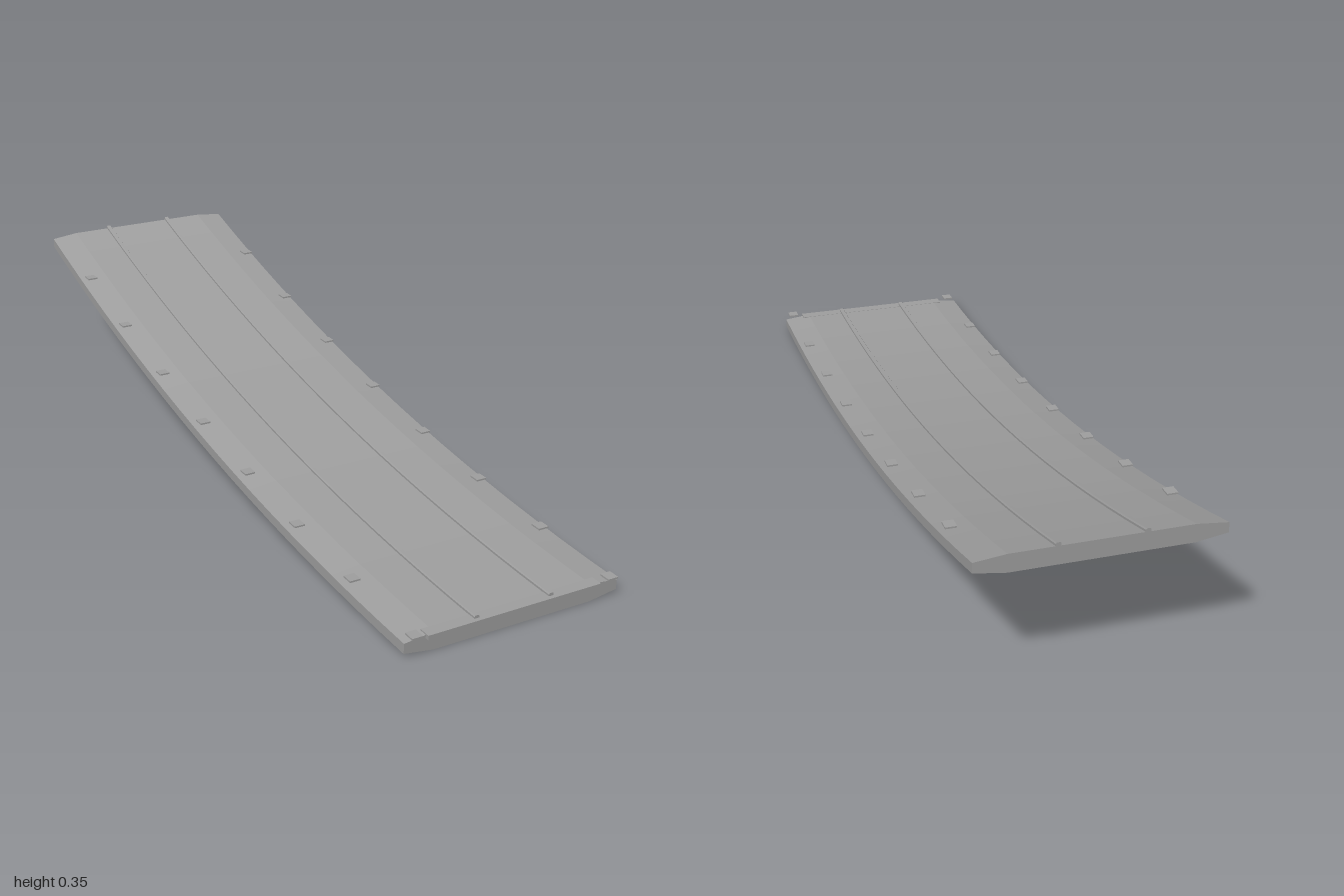
import * as THREE from 'three';

const FRONT = 0.98, BACK = -1;

// Height of the upward sweep at a given depth
const rise = (z) => 0.075 * (0.99 - z) ** 2;

// Extrude a cross-section along z, then bend it up along the sweep
function sweep(points, back, front) {
  const shape = new THREE.Shape(points.map(([x, y]) => new THREE.Vector2(x, y)));
  const geo = new THREE.ExtrudeGeometry(shape, { depth: front - back, steps: 20, bevelEnabled: false });
  geo.translate(0, 0, back);
  const p = geo.attributes.position;
  for (let i = 0; i < p.count; i++) p.setY(i, p.getY(i) + rise(p.getZ(i)));
  geo.computeVertexNormals();
  return geo;
}

export function createModel() {
  const model = new THREE.Group();
  model.name = 'curvedPanel';
  const grey = new THREE.MeshStandardMaterial({ color: 0xa0a0a0 });
  grey.name = 'panel grey';

  const add = (name, geo, x = 0, y = 0, z = 0) => {
    const mesh = new THREE.Mesh(geo, grey);
    mesh.name = name;
    mesh.position.set(x, y, z);
    model.add(mesh);
  };

  // Main slab with chamfered long edges
  add('deck', sweep([
    [-0.2, 0.001], [0.2, 0.001], [0.272, 0.012], [0.272, 0.036],
    [0.2, 0.044], [-0.2, 0.044], [-0.272, 0.036], [-0.272, 0.012],
  ], BACK, FRONT));

  // Lip along the front edge
  add('frontLip', new THREE.BoxGeometry(0.44, 0.011, 0.03), 0, 0.0395, 0.975);

  const clip = new THREE.BoxGeometry(0.026, 0.004, 0.028);
  for (const side of [1, -1]) {
    const label = side > 0 ? 'left' : 'right';

    // Raised rail running the full length
    const c = side * 0.095;
    add(label + 'Rail', sweep([
      [c - 0.006, 0.042], [c + 0.006, 0.042], [c + 0.006, 0.049],
      [c + 0.004, 0.052], [c - 0.004, 0.052], [c - 0.006, 0.049],
    ], BACK, FRONT));

    // Row of level edge clips
    for (let i = 0; i < 8; i++) {
      const z = 0.981 - i * 0.249;
      add(label + 'Clip' + (i + 1), clip, side * 0.249, 0.0505 + rise(z), z);
    }
  }
  return model;
}
